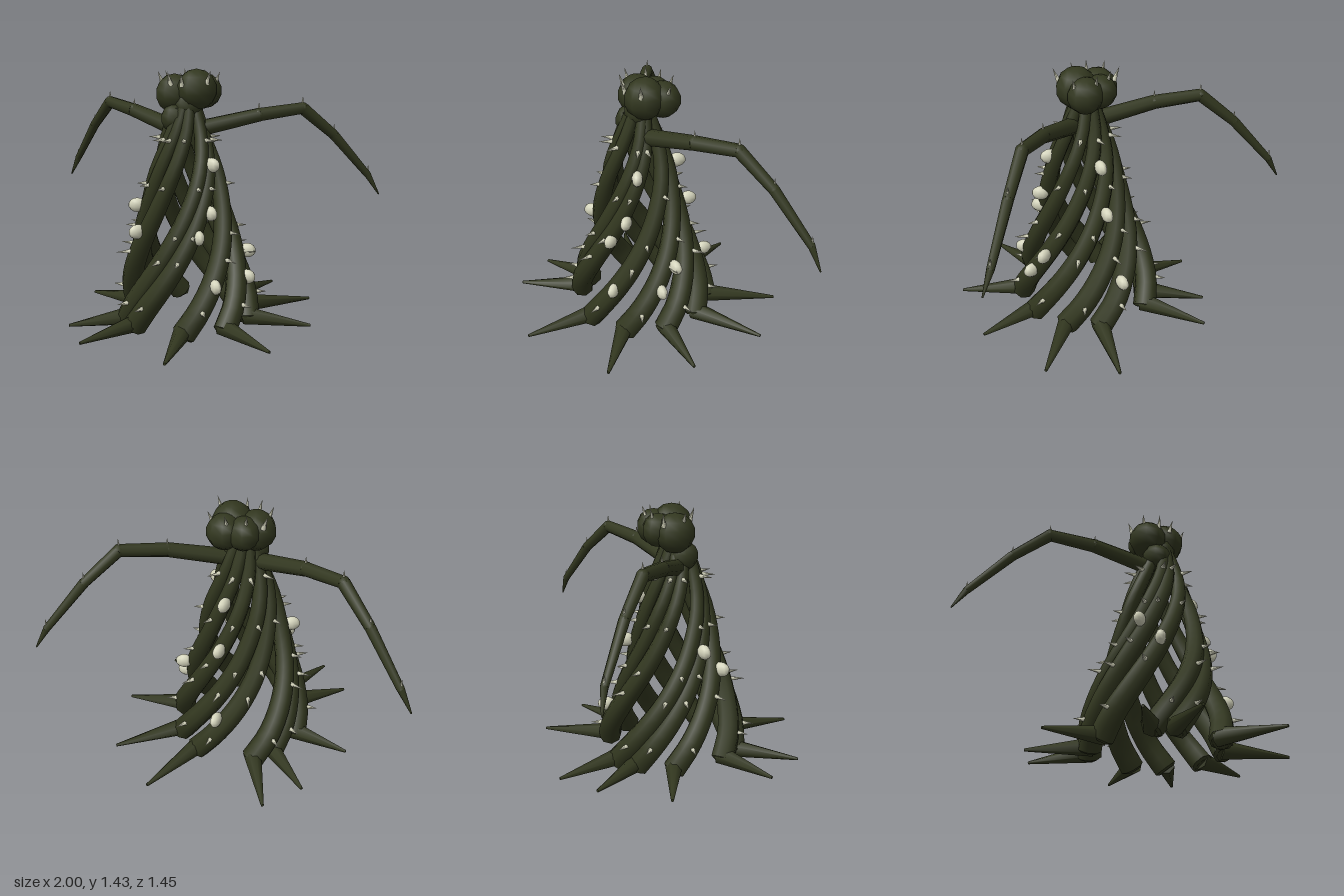
import * as THREE from 'three';

const vineMat = new THREE.MeshStandardMaterial({ color: 0x32371f });
vineMat.name = 'dark olive vine';
const boneMat = new THREE.MeshStandardMaterial({ color: 0xd4d4bc });
boneMat.name = 'pale thorn';
const V = (x, y, z) => new THREE.Vector3(x, y, z);
const UP = V(0, 1, 0);

// Tapered rod from a to b
function rod(name, a, b, r0, r1, mat, sides = 8) {
  const dir = b.clone().sub(a);
  const mesh = new THREE.Mesh(new THREE.CylinderGeometry(r1, r0, dir.length(), sides), mat);
  mesh.position.copy(a).add(b).multiplyScalar(0.5);
  mesh.quaternion.setFromUnitVectors(UP, dir.normalize());
  mesh.name = name;
  return mesh;
}

function ball(name, p, r, mat, w = 9, h = 7) {
  const mesh = new THREE.Mesh(new THREE.SphereGeometry(r, w, h), mat);
  mesh.position.copy(p);
  mesh.name = name;
  return mesh;
}

const thorn = (p, dir, len, r = 0.015) =>
  rod('thorn', p, p.clone().addScaledVector(dir.clone().normalize(), len), r, 0.0005, boneMat, 5);

// Spiral cage: radius, thickness and twist by height
const RINGS = [[0.03, 0.35], [0.18, 0.33], [0.36, 0.285], [0.63, 0.22], [0.9, 0.162], [1.05, 0.115], [1.22, 0.055]];
const thickness = (y) => THREE.MathUtils.lerp(0.068, 0.032, y / 1.22);
function cageRadius(y) {
  let i = 0;
  while (i < RINGS.length - 2 && y > RINGS[i + 1][0]) i++;
  const [y0, r0] = RINGS[i], [y1, r1] = RINGS[i + 1];
  return r0 + (r1 - r0) * (y - y0) / (y1 - y0);
}
// flare widens a vine towards its foot
function vinePoint(base, flare, y, extra = 0) {
  const a = base - 2.05 * (y - 0.05);
  const r = cageRadius(y) + flare * Math.max(0, 1 - y / 0.7) + extra;
  return V(Math.cos(a) * r, y, Math.sin(a) * r);
}

// Thorn height and length
const THORNS = [[0.18, 0.065], [0.43, 0.085], [0.56, 0.065], [0.81, 0.06], [1.06, 0.08]];

// Tube narrowed towards its top, with a closed lower end
function buildVine(base, flare) {
  const group = new THREE.Group();
  group.name = 'vine';
  const pts = [];
  for (let i = 0; i <= 10; i++) pts.push(vinePoint(base, flare, 0.05 + 1.17 * i / 10));
  const curve = new THREE.CatmullRomCurve3(pts);
  const segs = 22, sides = 8;
  const geo = new THREE.TubeGeometry(curve, segs, 1, sides);
  const pos = geo.attributes.position, p = V(0, 0, 0);
  for (let i = 0; i <= segs; i++) {
    const c = curve.getPointAt(i / segs);
    for (let j = 0; j <= sides; j++) {
      const k = i * (sides + 1) + j;
      p.fromBufferAttribute(pos, k).sub(c).multiplyScalar(thickness(c.y)).add(c);
      pos.setXYZ(k, p.x, p.y, p.z);
    }
  }
  const stem = new THREE.Mesh(geo, vineMat);
  stem.name = 'vineStem';
  const start = curve.getPointAt(0);
  group.add(stem, rod('vineFoot', start.clone().addScaledVector(curve.getTangentAt(0), -0.012), start, 0.05, 0.066, vineMat));
  for (const [y, len] of THORNS) {
    const s = vinePoint(base, flare, y, thickness(y) - 0.012);
    group.add(thorn(s, V(s.x, 0, s.z), len));
  }
  return group;
}

// One arm; side is +1 for left, -1 for right
function buildArm(side) {
  const group = new THREE.Group();
  group.name = side > 0 ? 'leftArm' : 'rightArm';
  const path = [[0.08, 1.115, -0.01], [0.37, 1.185, -0.15], [0.585, 1.216, -0.285],
    [0.745, 1.06, -0.4], [0.93, 0.82, -0.522], [0.995, 0.705, -0.545]].map(([x, y, z]) => V(x * side, y, z));
  const radii = [0.046, 0.039, 0.034, 0.028, 0.02, 0.004];
  for (let i = 0; i < 5; i++) {
    group.add(rod('armSegment', path[i], path[i + 1], radii[i], radii[i + 1], vineMat));
    if (i) {
      group.add(ball('armJoint', path[i], radii[i], vineMat, 8, 6));
      group.add(thorn(path[i].clone().setY(path[i].y + radii[i] * 0.6), UP, 0.045, 0.009));
    }
  }
  return group;
}

export function createModel() {
  const model = new THREE.Group();
  model.name = 'vineCreature';

  // Vines and pointed roots: tip x, tip z, foot angle offset, foot flare
  const roots = [[0.715, -0.03, 0, 0.015], [0.59, 0.41, 0, 0.01], [0.14, 0.72, -0.1, 0.005], [-0.37, 0.62, 0.05, 0.005],
    [-0.54, 0.41, 0, 0], [-0.655, -0.16, 0, 0], [-0.48, -0.52, 0, 0.02], [-0.31, -0.7, 0, 0.055],
    [0.33, -0.73, 0, 0.055], [0.62, -0.48, 0, 0.035]];
  for (const [x, z, turn, flare] of roots) {
    const a = Math.atan2(z, x) + turn, r = 0.33 + flare;
    model.add(buildVine(a, flare));
    model.add(rod('root', V(Math.cos(a) * r, 0.066, Math.sin(a) * r), V(x, 0.048, z), 0.053, 0.008, vineMat, 7));
  }

  // Pale buds growing on the vines, narrower across
  const buds = [[0.175, 0.93, 0.08], [0.045, 0.93, -0.205], [0.19, 0.68, 0.15], [-0.255, 0.685, 0.1],
    [0.055, 0.68, -0.275], [0.15, 0.56, 0.225], [-0.21, 0.56, 0.21],
    [0.335, 0.43, -0.08], [0.25, 0.305, 0.25], [0.36, 0.305, 0.01], [0.04, 0.305, -0.395]];
  for (const [x, y, z] of buds) {
    const bud = ball('bud', V(x, y, z), 1, boneMat, 9, 7);
    bud.scale.set(0.03, 0.041, 0.05);
    bud.rotation.y = Math.atan2(x, z);
    model.add(bud);
  }

  // Lumpy head
  const head = new THREE.Group();
  head.name = 'head';
  const lumps = [[0.055, 1.325, -0.01, 0.112], [-0.075, 1.3, -0.02, 0.108], [0.07, 1.312, -0.105, 0.097],
    [-0.03, 1.31, -0.1, 0.09], [-0.052, 1.17, 0.03, 0.082], [0.01, 1.24, 0, 0.085]];
  for (const [x, y, z, r] of lumps) head.add(ball('headLump', V(x, y, z), r, vineMat));
  const crown = [[-0.13, 1.35, 0.01], [-0.065, 1.35, 0.06], [0.005, 1.345, 0.078], [0.13, 1.36, 0.04],
    [0.13, 1.345, -0.1], [0.04, 1.355, -0.15], [-0.05, 1.355, -0.13], [-0.13, 1.345, -0.09]];
  for (const [x, y, z] of crown) head.add(thorn(V(x, y, z), V(x * 2, 0.7, (z + 0.04) * 2), 0.078));
  model.add(head);

  model.add(buildArm(1), buildArm(-1));
  return model;
}
